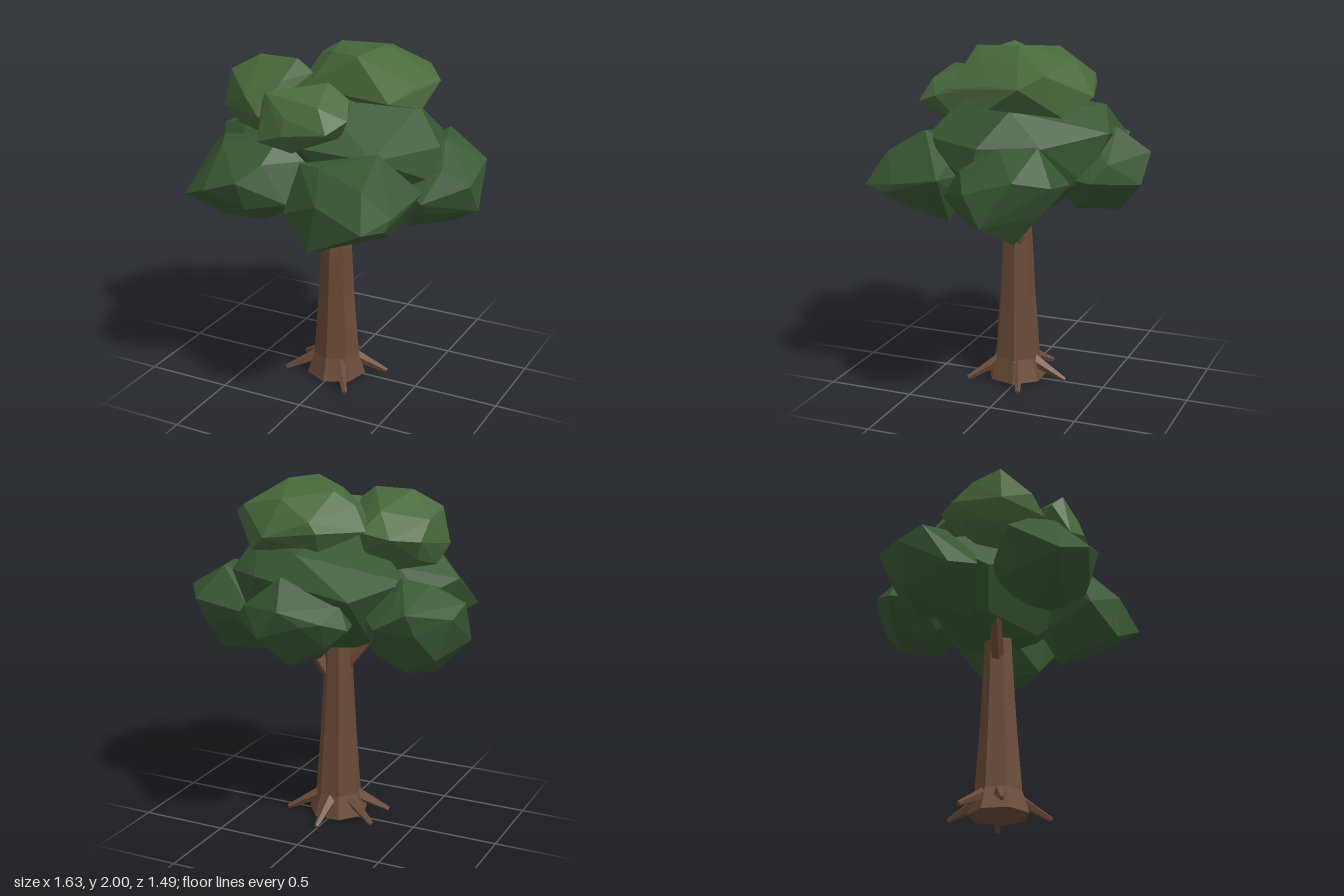
import * as THREE from 'three';
import { ConvexGeometry } from 'three/addons/geometries/ConvexGeometry.js';

const mat = (color) => new THREE.MeshStandardMaterial({ color, flatShading: true });
const bark = mat(0x6a4b38);
const leaf = mat(0x385733);
const leafLight = mat(0x48683b);

// Faceted leaf clump: hull of a few leading corners around a rounded core that fills their box
function clump(name, material, ...corners) {
  const points = corners.map((c) => new THREE.Vector3(...c));
  const box = new THREE.Box3().setFromPoints(points);
  const centre = box.getCenter(new THREE.Vector3());
  const radii = box.getSize(new THREE.Vector3()).multiplyScalar(0.46);
  const count = 16;
  for (let i = 0; i < count; i++) {
    const y = 1 - (2 * (i + 0.5)) / count;
    const r = Math.sqrt(1 - y * y);
    const a = i * 2.39996;
    points.push(new THREE.Vector3(r * Math.cos(a), y, r * Math.sin(a)).multiply(radii).add(centre));
  }
  const mesh = new THREE.Mesh(new ConvexGeometry(points), material);
  mesh.name = name;
  return mesh;
}

// Tapered faceted limb between two points
function limb(name, a, b, rA, rB, sides) {
  const start = new THREE.Vector3(...a);
  const dir = new THREE.Vector3(...b).sub(start);
  const mesh = new THREE.Mesh(new THREE.CylinderGeometry(rB, rA, dir.length(), sides), bark);
  mesh.position.copy(start).addScaledVector(dir, 0.5);
  mesh.quaternion.setFromUnitVectors(new THREE.Vector3(0, 1, 0), dir.normalize());
  mesh.name = name;
  return mesh;
}

function group(name, ...children) {
  const g = new THREE.Group();
  g.name = name;
  return g.add(...children);
}

export function createModel() {
  const zc = 0.035;

  // Trunk: seven-sided, flared at the foot
  const profile = [[0, 0.01], [0.175, 0.01], [0.135, 0.14], [0.108, 0.5], [0.083, 0.95], [0.078, 1.1], [0, 1.1]];
  const trunk = new THREE.Mesh(
    new THREE.LatheGeometry(profile.map(([r, y]) => new THREE.Vector2(r, y)), 7), bark);
  trunk.position.z = zc;
  trunk.name = 'trunk';

  // Five roots spreading around the foot
  const roots = [54, 157, 205, 270, 338].map((deg) => {
    const a = THREE.MathUtils.degToRad(deg);
    const at = (r, y) => [Math.cos(a) * r, y, zc + Math.sin(a) * r];
    return limb('root', at(0.09, 0.12), at(0.3, 0.014), 0.04, 0.014, 5);
  });

  // Branches reaching up into the crown
  const branches = [
    limb('leftBranch', [0.04, 0.86, 0.01], [0.27, 1.17, 0], 0.042, 0.03, 6),
    limb('rightBranch', [-0.03, 0.91, 0.04], [-0.22, 1.15, 0.1], 0.042, 0.03, 6),
  ];

  // Crown: one core clump, a lower ring of five, and three lighter clumps on top
  const crown = group('crown',
    clump('coreClump', leaf,
      [0, 1.67, -0.49], [0.2, 1.55, -0.575], [-0.32, 1.45, -0.52], [-0.5, 1.5, -0.16],
      [0.44, 1.68, -0.1], [0.62, 1.5, 0.02], [0.65, 1.3, 0.05], [0.4, 1.5, 0.41],
      [0, 1.53, 0.47], [-0.12, 1.03, 0.05], [0, 1.76, 0.25],
      [-0.28, 1.11, 0.08], [0.06, 1.08, 0.25], [0.08, 1.08, -0.2]),
    clump('frontRightClump', leaf,
      [-0.62, 1.43, 0.32], [-0.635, 1.22, 0.62], [-0.45, 1.3, 0.72], [-0.25, 1.37, 0.72],
      [-0.13, 1.58, 0.42], [-0.5, 1.52, 0.4], [0.02, 1.45, 0.42], [-0.03, 1.24, 0.57],
      [-0.2, 1.1, 0.5], [-0.39, 1.05, 0.4], [-0.3, 1.3, 0.12]),
    clump('frontLeftClump', leaf,
      [0.5, 1.22, 0.745], [0.17, 1.05, 0.7], [0.19, 1.0, 0.44], [0.56, 1.2, 0.6],
      [0.62, 1.31, 0.25], [0.43, 1.54, 0.4], [0.02, 1.46, 0.5], [-0.03, 1.2, 0.6],
      [0.4, 1.03, 0.28], [0.25, 1.3, 0.15]),
    clump('leftClump', leaf,
      [0.67, 1.34, -0.42], [0.79, 1.38, -0.25], [0.815, 1.13, -0.08], [0.8, 1.3, 0.02],
      [0.6, 1.23, 0.22], [0.64, 1.01, -0.2], [0.32, 1.28, -0.4], [0.55, 1.52, -0.3],
      [0.6, 1.51, -0.1], [0.4, 1.0, -0.12], [0.48, 1.05, 0.12], [0.25, 1.2, -0.1]),
    clump('rightClump', leaf,
      [-0.61, 1.4, -0.45], [-0.43, 1.3, -0.45], [-0.8, 1.35, -0.25], [-0.815, 1.41, -0.1],
      [-0.8, 1.165, 0.05], [-0.66, 1.2, 0.16], [-0.63, 0.985, -0.04], [-0.54, 1.0, -0.18],
      [-0.375, 1.04, 0], [-0.63, 1.5, -0.15], [-0.49, 1.53, -0.2], [-0.22, 1.3, -0.15]),
    clump('backClump', leaf,
      [-0.32, 1.3, -0.52], [-0.22, 1.35, -0.64], [-0.02, 1.42, -0.745], [0.11, 1.26, -0.73],
      [0.35, 1.3, -0.52], [0, 1.085, -0.58], [0.05, 1.56, -0.57], [-0.1, 1.09, -0.4],
      [0.2, 1.12, -0.4], [0, 1.3, -0.15]),
    clump('topClump', leafLight,
      [0.25, 2.0, -0.08], [0.2, 1.985, 0.19], [-0.08, 1.965, -0.19], [0.2, 1.74, -0.485],
      [-0.08, 1.77, -0.41], [-0.06, 1.66, -0.35], [-0.27, 1.76, -0.19], [0.34, 1.64, -0.36],
      [0.53, 1.81, -0.18], [0.42, 1.77, 0.26], [-0.08, 1.8, 0.24], [0.5, 1.69, 0],
      [0.41, 1.9, -0.13]),
    clump('upperRightClump', leafLight,
      [-0.58, 1.64, 0.27], [-0.54, 1.85, 0.25], [-0.38, 1.94, 0.2], [-0.15, 1.94, 0.2],
      [-0.06, 1.87, 0.2], [-0.23, 1.75, -0.18], [-0.4, 1.72, -0.17], [-0.53, 1.7, -0.05],
      [-0.28, 1.65, 0.42], [-0.53, 1.53, 0.2], [-0.2, 1.48, 0.28]),
    clump('upperFrontClump', leafLight,
      [-0.23, 1.75, 0.45], [-0.21, 1.56, 0.55], [-0.04, 1.62, 0.58], [0.2, 1.65, 0.55],
      [0.26, 1.7, 0.42], [0.09, 1.86, 0.3], [0.21, 1.78, 0.3], [-0.04, 1.5, 0.48],
      [-0.18, 1.82, 0.5], [0, 1.65, 0.15]));

  return group('tree', trunk, group('roots', ...roots), group('branches', ...branches), crown);
}
